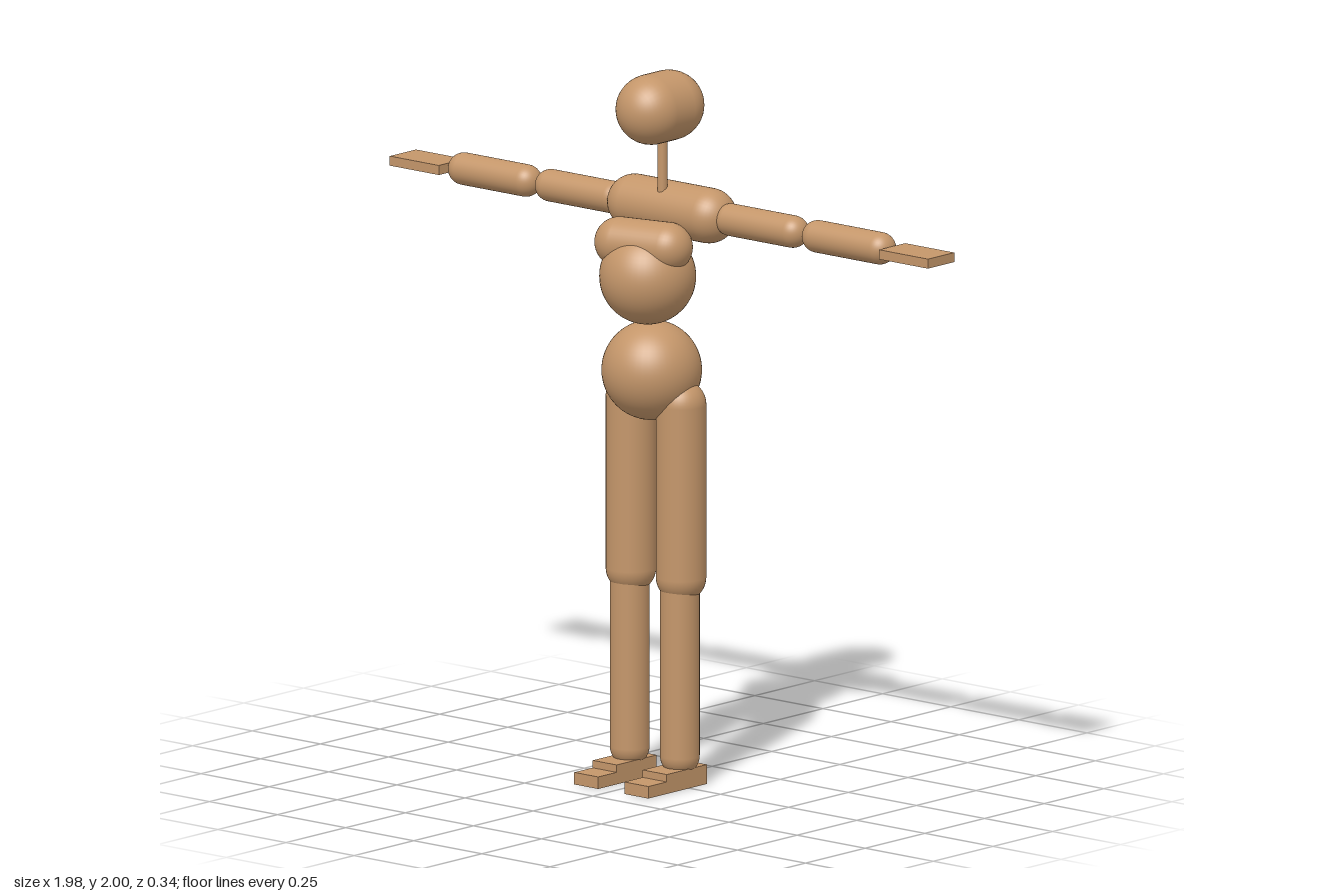
import * as THREE from 'three';

const material = new THREE.MeshStandardMaterial({ color: 0xc4966a });

export function createModel() {
  const model = new THREE.Group();
  model.name = 'mannequin';

  const add = (name, geometry, x, y, z) => {
    const mesh = new THREE.Mesh(geometry, material);
    mesh.name = name;
    mesh.position.set(x, y, z);
    model.add(mesh);
    return mesh;
  };
  const ball = (name, r, x, y, z) => add(name, new THREE.SphereGeometry(r, 48, 32), x, y, z);
  const box = (name, w, h, d, x, y, z) => add(name, new THREE.BoxGeometry(w, h, d), x, y, z);

  // Capsule reaching from tip to tip, round ends included
  const capsule = (name, r, from, to) => {
    const a = new THREE.Vector3(...from), b = new THREE.Vector3(...to);
    const dir = b.clone().sub(a), mid = a.add(b).multiplyScalar(0.5);
    const geometry = new THREE.CapsuleGeometry(r, dir.length() - 2 * r, 12, 40);
    const mesh = add(name, geometry, mid.x, mid.y, mid.z);
    mesh.quaternion.setFromUnitVectors(new THREE.Vector3(0, 1, 0), dir.normalize());
    return mesh;
  };

  // Head and neck
  capsule('head', 0.098, [0, 1.902, -0.167], [0, 1.902, 0.104]);
  capsule('neck', 0.014, [0, 1.64, -0.042], [0, 1.84, -0.042]);

  // Torso
  const armY = 1.607, armZ = -0.082;
  capsule('shoulders', 0.077, [-0.213, armY, armZ], [0.213, armY, armZ]);
  capsule('upperChest', 0.07, [-0.141, 1.525, 0.07], [0.141, 1.525, 0.004]);
  ball('chest', 0.134, 0, 1.433, 0.02);
  ball('pelvis', 0.139, 0, 1.165, 0.003);

  // Arms and legs, mirrored
  for (const [side, s] of [['left', 1], ['right', -1]]) {
    capsule(side + 'UpperArm', 0.045, [s * 0.172, armY, armZ], [s * 0.489, armY, armZ]);
    capsule(side + 'Forearm', 0.045, [s * 0.491, armY, armZ], [s * 0.808, armY, armZ]);
    box(side + 'Hand', 0.18, 0.027, 0.11, s * 0.898, 1.605, armZ);

    const x = s * 0.092;
    capsule(side + 'Thigh', 0.07, [x, 0.52, -0.015], [x, 1.147, -0.015]);
    capsule(side + 'Shin', 0.055, [x, 0.03, -0.01], [x, 0.62, -0.01]);
    box(side + 'Sole', 0.088, 0.034, 0.245, x, 0.017, 0.05);
    box(side + 'Heel', 0.088, 0.055, 0.168, x, 0.0275, 0.0115);
  }
  return model;
}
